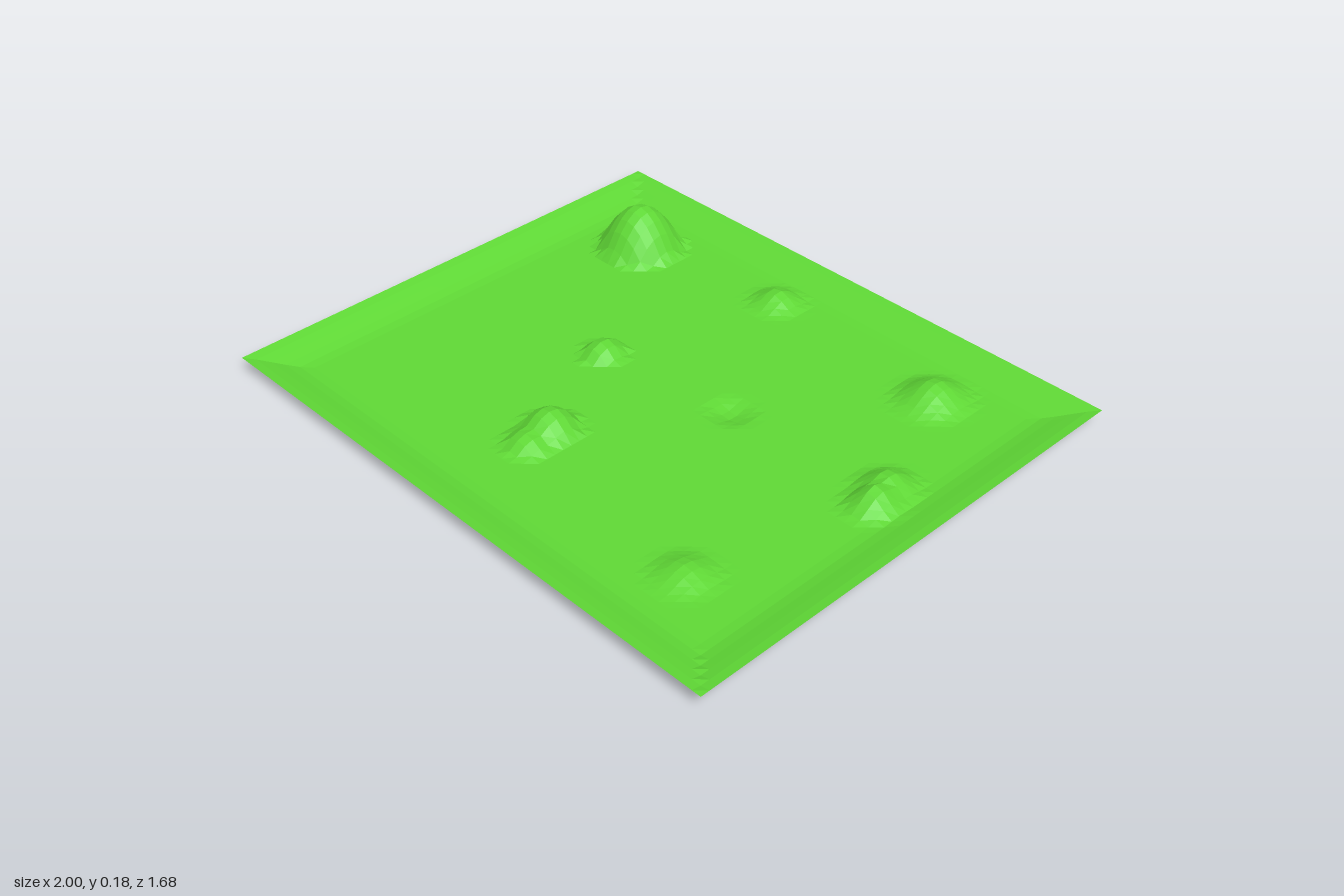
import * as THREE from 'three';

const HALF_X = 1, HALF_Z = 0.84, FLOOR = 0.02, RIM = 0.055;

// Mounds and the one hollow: centre, radii, height; sharp ones are domed, the rest bell-shaped
const bumps = [
  { x: -0.66, z: -0.53, rx: 0.147, rz: 0.147, h: 0.157, sharp: true }, // big dome
  { x: -0.10, z: -0.61, rx: 0.11, rz: 0.11, h: 0.045 },
  { x: 0.59, z: -0.56, rx: 0.14, rz: 0.15, h: 0.062 },
  { x: 0.77, z: -0.13, rx: 0.11, rz: 0.13, h: 0.058 },
  { x: 0.79, z: -0.06, rx: 0.10, rz: 0.12, h: 0.065 },
  { x: -0.28, z: -0.01, rx: 0.07, rz: 0.08, h: 0.048, sharp: true },
  { x: -0.10, z: 0.37, rx: 0.095, rz: 0.10, h: 0.073, sharp: true },
  { x: -0.09, z: 0.46, rx: 0.08, rz: 0.08, h: 0.042, sharp: true },
  { x: 0.63, z: 0.53, rx: 0.12, rz: 0.12, h: 0.033 },
  { x: 0.21, z: -0.08, rx: 0.09, rz: 0.09, h: -0.02 },
];

function bumpHeight(b, x, z) {
  const d = Math.hypot((x - b.x) / b.rx, (z - b.z) / b.rz);
  if (d >= 1) return 0;
  return b.h * (b.sharp ? 1 - d * d : 0.5 + 0.5 * Math.cos(Math.PI * d));
}

// Raised border with mitred corners
function rimHeight(x, z) {
  const slope = (distance, width) => Math.max(0, 1 - distance / width);
  const t = Math.max(slope(HALF_X - Math.abs(x), 0.14), slope(HALF_Z - Math.abs(z), 0.14));
  const eased = t * t * (3 - 2 * t);
  return (RIM - FLOOR) * (t + eased) / 2;
}

function groundHeight(x, z) {
  let up = 0, down = 0;
  for (const b of bumps) {
    const h = bumpHeight(b, x, z);
    up = Math.max(up, h);
    down = Math.min(down, h);
  }
  return FLOOR + rimHeight(x, z) + up + down;
}

export function createModel() {
  const group = new THREE.Group();
  group.name = 'grassField';

  // Thin grid sheet lifted by the height rule
  const geometry = new THREE.PlaneGeometry(2 * HALF_X, 2 * HALF_Z, 64, 54);
  geometry.rotateX(-Math.PI / 2);
  const p = geometry.attributes.position;
  for (let i = 0; i < p.count; i++) p.setY(i, groundHeight(p.getX(i), p.getZ(i)));
  geometry.computeVertexNormals();

  const material = new THREE.MeshStandardMaterial({
    color: 0x5fd835, flatShading: true, side: THREE.DoubleSide,
  });
  const ground = new THREE.Mesh(geometry, material);
  ground.name = 'ground';
  group.add(ground);
  return group;
}
